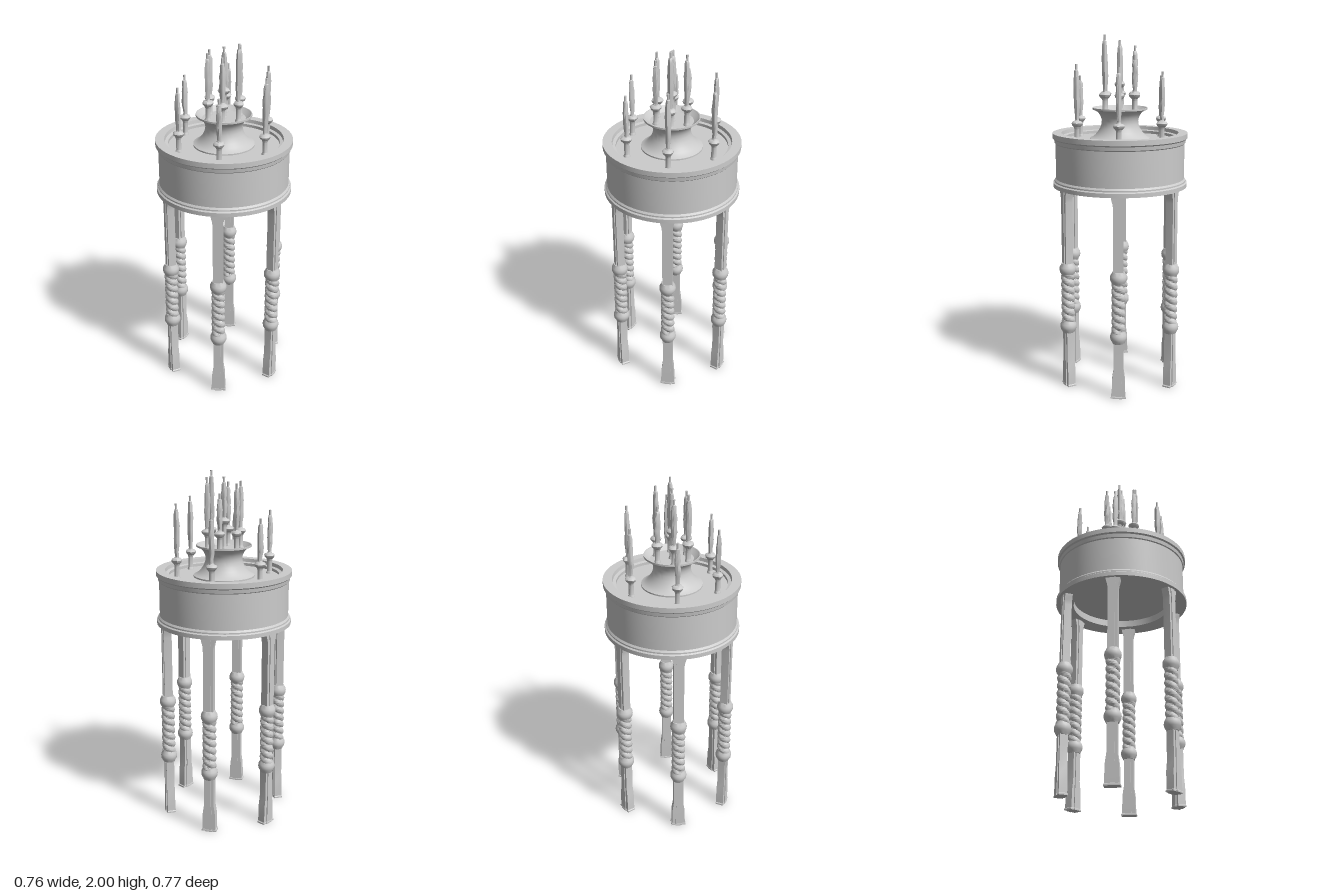
import * as THREE from 'three';
import { toCreasedNormals } from 'three/addons/utils/BufferGeometryUtils.js';

const material = new THREE.MeshStandardMaterial({ color: 0xcccccc, side: THREE.DoubleSide });

// Seeded random numbers for the wax
let seed = 7;
const rand = () => (seed = (seed * 16807) % 2147483647) / 2147483647;

function mesh(name, geometry, crease = 0.6) {
  const m = new THREE.Mesh(toCreasedNormals(geometry, crease), material);
  m.name = name;
  return m;
}

const lathe = (name, points, segments, crease) =>
  mesh(name, new THREE.LatheGeometry(points.map(([r, y]) => new THREE.Vector2(r, y)), segments), crease);

// Skin a stack of rings; each ring is a list of [x, y, z] running from the front towards +x
function loft(rings) {
  const n = rings[0].length, index = [];
  for (let i = 0; i < rings.length - 1; i++) {
    for (let k = 0; k < n; k++) {
      const a = i * n + k, b = i * n + (k + 1) % n;
      index.push(a, b, b + n, a, b + n, a + n);
    }
  }
  const g = new THREE.BufferGeometry();
  g.setAttribute('position', new THREE.Float32BufferAttribute(rings.flat(2), 3));
  g.setIndex(index);
  return g;
}

// Post section: flat sides with a raised rib on the outer and inner faces
const half = [[0.45, 1], [0.45, 0.82], [1, 0.82], [1, -0.82], [0.45, -0.82], [0.45, -1]];
const section = [...half, ...half.map(([x, z]) => [-x, -z])];

// stations: [half width, half depth, y]
const post = (name, stations) =>
  mesh(name, loft(stations.map(([w, d, y]) => section.map(([x, z]) => [x * w, y, z * d]))), 0.3);

// Two-strand twisted column
function twist() {
  const rings = [], steps = 72, sides = 24;
  for (let i = 0; i <= steps; i++) {
    const t = i / steps, ring = [];
    for (let k = 0; k < sides; k++) {
      const a = (k / sides) * Math.PI * 2;
      const r = 0.027 + 0.012 * Math.sqrt(Math.abs(Math.cos(a + t * Math.PI * 7)));
      ring.push([r * Math.sin(a), 0.385 + t * 0.305, r * Math.cos(a)]);
    }
    rings.push(ring);
  }
  return mesh('twistedColumn', loft(rings), 0.9);
}

function createLeg() {
  const leg = new THREE.Group();
  leg.name = 'leg';
  leg.add(
    post('lowerPost', [
      [0, 0, 0], [0.043, 0.03, 0], [0.043, 0.03, 0.008], [0.038, 0.028, 0.012],
      [0.036, 0.028, 0.11], [0.028, 0.027, 0.165], [0.028, 0.027, 0.335]]),
    post('upperPost', [
      [0.028, 0.027, 0.725], [0.028, 0.027, 1.09], [0.031, 0.027, 1.115],
      [0.038, 0.027, 1.14], [0.041, 0.027, 1.16]]),
    twist());
  // Turned knobs above and below the twist
  const knob = [[0, 0], [0.034, 0], [0.037, 0.008], [0.045, 0.022], [0.047, 0.036],
    [0.045, 0.05], [0.038, 0.063], [0.035, 0.068], [0.035, 0.075], [0, 0.075]];
  const lower = lathe('lowerKnob', knob, 24);
  lower.position.y = 0.325;
  const upper = lathe('upperKnob', knob, 24);
  upper.position.y = 0.737;
  upper.rotation.x = Math.PI;
  leg.add(lower, upper);
  return leg;
}

// Candle on a stem: floor height, cup height, tip height
function createCandle(x, z, floor, cup, tip) {
  const g = new THREE.Group();
  g.name = 'candle';
  g.position.set(x, 0, z);
  g.rotation.y = rand() * 6;
  g.add(lathe('candleStem', [
    [0.019, floor - 0.002], [0.017, floor + 0.008], [0.014, floor + 0.014],
    [0.014, cup - 0.03], [0.018, cup - 0.018]], 12));

  // Irregular drip cup
  const wobble = Array.from({ length: 9 }, () => 0.88 + rand() * 0.2);
  const cupRings = [[0, -0.022], [0.014, -0.022], [0.028, -0.009], [0.032, 0.002],
    [0.026, 0.011], [0.014, 0.015], [0.011, 0.022], [0, 0.022]];
  g.add(mesh('dripCup', loft(cupRings.map(([r, y]) => wobble.map((w, k) => {
    const a = (k / 9) * Math.PI * 2;
    return [r * w * Math.sin(a), cup + y, r * w * Math.cos(a)];
  }))), 0.8));

  // Wax body: narrow foot, lumpy middle with drips, tapered shoulder
  const profile = [[0, 0.011], [0.12, 0.012], [0.25, 0.015], [0.4, 0.0165], [0.52, 0.015],
    [0.65, 0.0165], [0.78, 0.014], [0.9, 0.013], [0.97, 0.01], [1, 0]];
  const bottom = cup + 0.015, height = tip - 0.025 - bottom;
  const drips = Array.from({ length: 10 }, () => 0.85 + rand() * 0.25);
  g.add(mesh('wax', loft(profile.map(([t, r]) => {
    const dx = (rand() - 0.5) * 0.003, dz = (rand() - 0.5) * 0.003;
    return drips.map((d, k) => {
      const a = (k / 10) * Math.PI * 2, s = r * d * (0.92 + rand() * 0.16);
      return [dx + s * Math.sin(a), bottom + t * height, dz + s * Math.cos(a)];
    });
  })), 0.7));

  const wick = mesh('wick', new THREE.CylinderGeometry(0.007, 0.006, 0.035, 8));
  wick.position.y = tip - 0.0175;
  g.add(wick);
  return g;
}

export function createModel() {
  const model = new THREE.Group();
  model.name = 'candleStand';

  // Drum with flanges, sunken top and recessed underside
  model.add(lathe('drum', [
    [0, 1.195], [0.28, 1.195], [0.28, 1.155], [0.382, 1.155], [0.382, 1.178], [0.374, 1.184],
    [0.374, 1.192], [0.366, 1.202], [0.366, 1.4], [0.371, 1.405], [0.374, 1.425], [0.382, 1.432],
    [0.382, 1.46], [0.331, 1.46], [0.328, 1.44], [0.31, 1.436], [0.31, 1.42], [0, 1.42]], 72));

  // Flared pedestal bowl
  model.add(lathe('pedestalBowl', [
    [0.171, 1.419], [0.171, 1.428], [0.157, 1.434], [0.14, 1.447], [0.125, 1.465], [0.112, 1.487],
    [0.104, 1.51], [0.103, 1.53], [0.108, 1.548], [0.118, 1.566], [0.132, 1.58], [0.146, 1.587],
    [0.155, 1.59], [0.155, 1.6], [0.15, 1.6], [0.145, 1.594], [0.12, 1.575], [0, 1.575]], 64));

  // Six legs under the drum
  for (let i = 0; i < 6; i++) {
    const a = (i / 6) * Math.PI * 2;
    const leg = createLeg();
    leg.position.set(0.338 * Math.sin(a), 0, 0.338 * Math.cos(a));
    leg.rotation.y = a;
    model.add(leg);
  }

  // Outer and inner rings of candles, tip heights running from the front towards +x
  const outerTips = [1.77, 1.845, 1.835, 1.805, 1.77, 1.78];
  const innerTips = [1.935, 2, 1.97, 1.89, 1.94, 1.945];
  for (let i = 0; i < 6; i++) {
    const a = (i / 6) * Math.PI * 2, s = Math.sin(a), c = Math.cos(a);
    model.add(createCandle(0.27 * s, 0.27 * c, 1.42, 1.523, outerTips[i]));
    model.add(createCandle(0.096 * s, 0.096 * c, 1.575, 1.672, innerTips[i]));
  }
  model.add(createCandle(0, 0, 1.575, 1.73, 1.97));

  return model;
}
